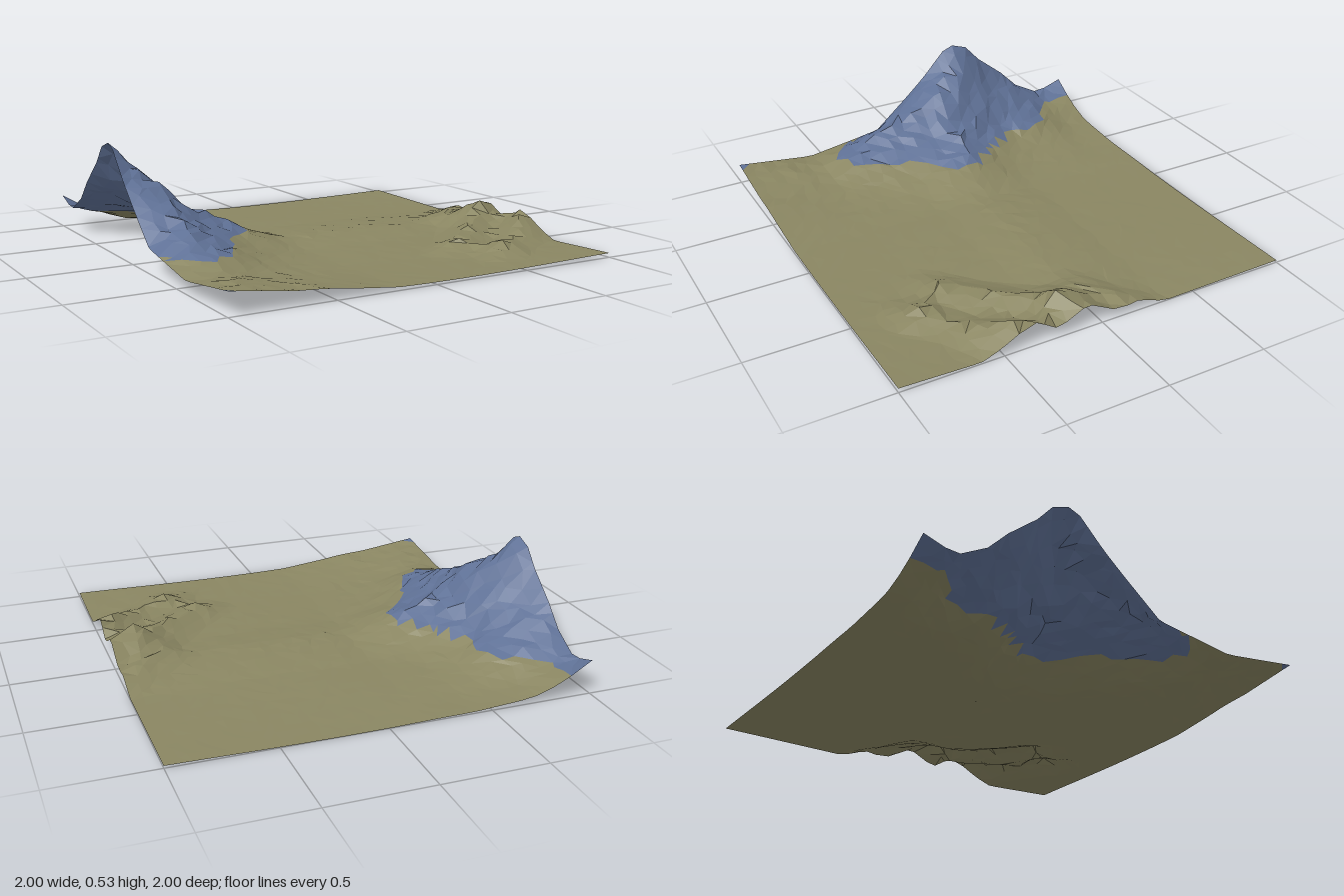
import * as THREE from 'three';

const CELLS = 34;
const ROCK_LINE = 0.1;

// Mountain cross-sections: z, then heights at each x station
const STATIONS = [-1, -0.85, -0.7, -0.55, -0.4, -0.2];
const SECTIONS = [
  [-1, 0.17, 0.08, 0.03, 0.02, 0.01, 0.01],
  [-0.85, 0.12, 0.09, 0.04, 0.02, 0.01, 0.01],
  [-0.7, 0.2, 0.15, 0.11, 0.04, 0.02, 0.01],
  [-0.6, 0.3, 0.19, 0.13, 0.04, 0.02, 0.01],
  [-0.45, 0.42, 0.25, 0.13, 0.06, 0.02, 0.01],
  [-0.35, 0.53, 0.33, 0.17, 0.08, 0.03, 0.01],
  [-0.25, 0.54, 0.4, 0.21, 0.12, 0.06, 0.02],
  [-0.1, 0.38, 0.37, 0.25, 0.18, 0.11, 0.03],
  [0, 0.29, 0.31, 0.21, 0.13, 0.1, 0.03],
  [0.2, 0.12, 0.22, 0.15, 0.09, 0.04, 0.01],
  [0.4, 0.09, 0.14, 0.11, 0.05, 0.02, 0.01],
  [0.6, 0.06, 0.08, 0.05, 0.03, 0.02, 0.01],
  [1, 0.11, 0.09, 0.07, 0.06, 0.04, 0.02],
];

// Low ridges on the opposite side: crest points as x, z, height
const RIDGES = [
  [[0.36, 0.57, 0.02], [0.46, 0.53, 0.06], [0.56, 0.45, 0.06], [0.75, 0.27, 0.08], [0.88, 0.15, 0.15], [1, 0.08, 0.11]],
  [[0.5, 0.78, 0.02], [0.59, 0.69, 0.07], [0.72, 0.62, 0.04], [0.85, 0.5, 0.08], [1, 0.36, 0.13]],
  [[0.75, 0, 0.04], [0.9, -0.1, 0.05], [1, -0.2, 0.04]],
];

const lerp = THREE.MathUtils.lerp;
const clamp01 = (v) => THREE.MathUtils.clamp(v, 0, 1);

// Repeatable value between -1 and 1 for a grid point
function hash(i, j, k) {
  const s = Math.sin(i * 127.1 + j * 311.7 + k * 74.7) * 43758.5453;
  return (s - Math.floor(s)) * 2 - 1;
}

// Index and fraction of v within ascending stops
function locate(stops, v) {
  let i = 0;
  while (i < stops.length - 2 && v > stops[i + 1]) i++;
  return [i, clamp01((v - stops[i]) / (stops[i + 1] - stops[i]))];
}

function mountainHeight(x, z) {
  const [r, tz] = locate(SECTIONS.map((s) => s[0]), z);
  const [c, tx] = locate(STATIONS, x);
  const along = (row) => lerp(row[c + 1], row[c + 2], tx);
  return lerp(along(SECTIONS[r]), along(SECTIONS[r + 1]), tz);
}

function ridgeHeight(x, z, crest) {
  let best = 0;
  for (let i = 0; i < crest.length - 1; i++) {
    const [ax, az, ah] = crest[i];
    const [bx, bz, bh] = crest[i + 1];
    const dx = bx - ax, dz = bz - az;
    const t = clamp01(((x - ax) * dx + (z - az) * dz) / (dx * dx + dz * dz));
    const h = lerp(ah, bh, t);
    const d = Math.hypot(x - ax - t * dx, z - az - t * dz);
    best = Math.max(best, h * Math.pow(clamp01(1 - d / (0.1 + h)), 1.2));
  }
  return best;
}

function terrainHeight(x, z) {
  const swell = 0.008 * Math.sin(x * 3 + 1) * Math.cos(z * 2.5);
  const hills = Math.max(...RIDGES.map((crest) => ridgeHeight(x, z, crest)));
  return Math.max(0, mountainHeight(x, z) + hills + swell * clamp01((x + 0.4) * 3));
}

export function createModel() {
  const group = new THREE.Group();
  group.name = 'terrain';

  // Irregular grid with straight outer edges
  const points = [];
  for (let j = 0; j <= CELLS; j++) {
    for (let i = 0; i <= CELLS; i++) {
      const step = 2 / CELLS;
      const edgeX = i === 0 || i === CELLS, edgeZ = j === 0 || j === CELLS;
      const x = -1 + i * step + (edgeX ? 0 : hash(i, j, 1) * step * 0.3);
      const z = -1 + j * step + (edgeZ ? 0 : hash(i, j, 2) * step * 0.3);
      const h = terrainHeight(x, z);
      const rough = edgeX || edgeZ ? 0 : hash(i, j, 3) * Math.min(0.015, h * 0.07);
      points.push(new THREE.Vector3(x, h + rough, z));
    }
  }
  const lowest = Math.min(...points.map((p) => p.y));
  points.forEach((p) => { p.y -= lowest; });

  // Sort the faces into high rock and low grass
  const rock = [], grass = [];
  const addFace = (a, b, c) => {
    const target = (a.y + b.y + c.y) / 3 > ROCK_LINE && a.x < 0 ? rock : grass;
    for (const p of [a, b, c]) target.push(p.x, p.y, p.z);
  };
  for (let j = 0; j < CELLS; j++) {
    for (let i = 0; i < CELLS; i++) {
      const k = j * (CELLS + 1) + i;
      const a = points[k], b = points[k + 1];
      const c = points[k + CELLS + 1], d = points[k + CELLS + 2];
      // Split each cell along its flatter diagonal
      if (Math.abs(a.y - d.y) < Math.abs(b.y - c.y)) {
        addFace(a, c, d);
        addFace(a, d, b);
      } else {
        addFace(a, c, b);
        addFace(b, c, d);
      }
    }
  }

  const addSurface = (name, positions, color) => {
    const geometry = new THREE.BufferGeometry();
    geometry.setAttribute('position', new THREE.Float32BufferAttribute(positions, 3));
    geometry.computeVertexNormals();
    const material = new THREE.MeshStandardMaterial({ color, flatShading: true, side: THREE.DoubleSide });
    const mesh = new THREE.Mesh(geometry, material);
    mesh.name = name;
    group.add(mesh);
  };
  addSurface('mountainRock', rock, 0x5f7196);
  addSurface('grassland', grass, 0x8a8662);
  return group;
}
